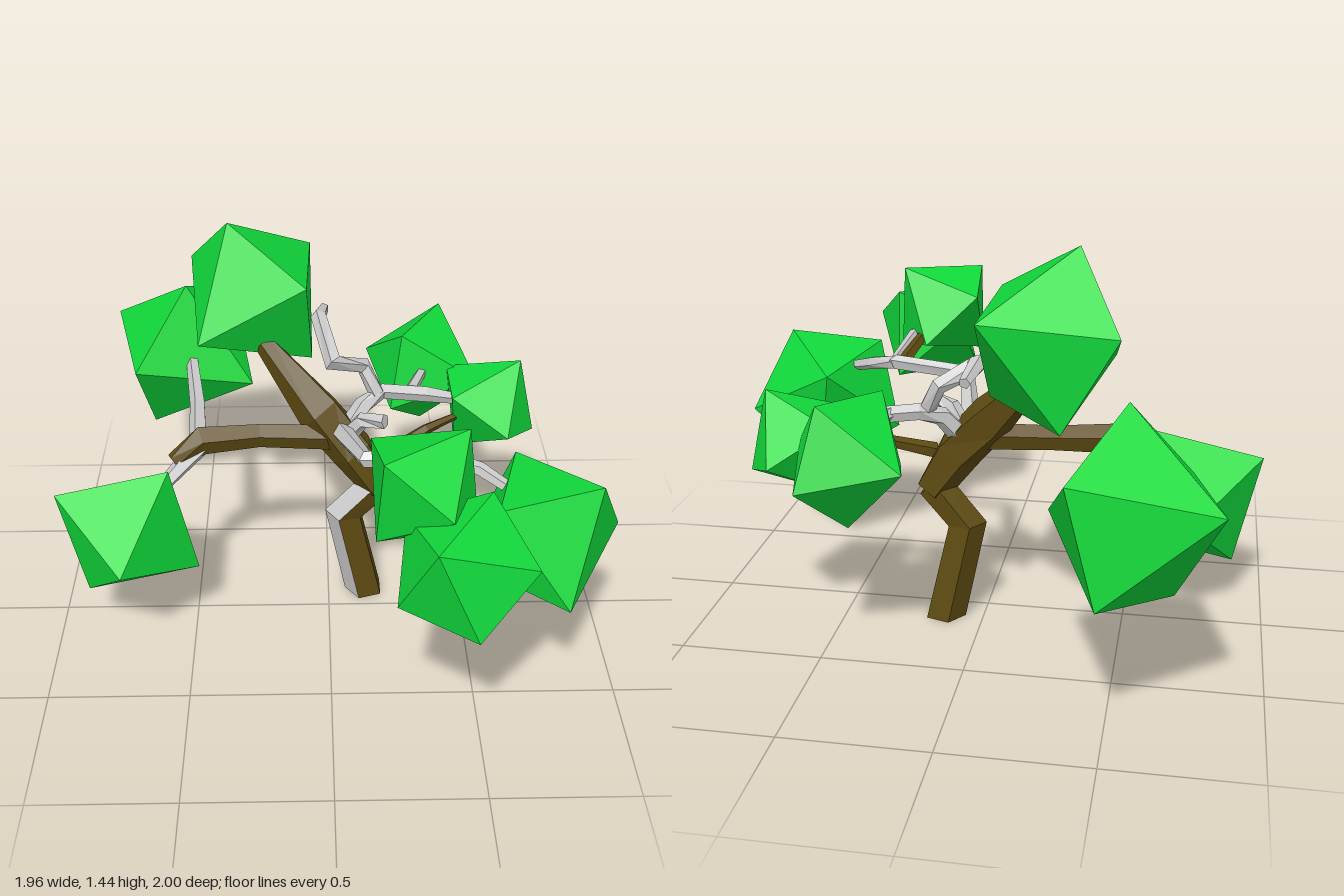
import * as THREE from 'three';

const V = (p) => new THREE.Vector3(...p);
const grey = new THREE.MeshStandardMaterial({ color: 0xcccccc, flatShading: true });
const bark = new THREE.MeshStandardMaterial({ color: 0x5f4c12, flatShading: true });
const green = new THREE.MeshStandardMaterial({ color: 0x11d93b, flatShading: true });

// Five-sided tapering limb through points [x, y, z, radius]; greySide leaves one strip uncoloured
function limb(name, path, material, greySide = -1) {
  const SIDES = 5;
  const centres = path.map((p) => V(p.slice(0, 3)));
  const rings = centres.map((c, i) => {
    const t = centres[Math.min(i + 1, path.length - 1)].clone()
      .sub(centres[Math.max(i - 1, 0)]).normalize();
    if (i === 0 && path[0][1] === 0) t.set(0, 1, 0); // level foot on the ground
    const ref = Math.abs(t.x) > 0.85 ? V([0, 1, 0]) : V([-1, 0, 0]);
    const u = ref.addScaledVector(t, -ref.dot(t)).normalize();
    const v = t.clone().cross(u);
    return Array.from({ length: SIDES }, (_, j) => {
      const a = (j / SIDES) * Math.PI * 2;
      return c.clone().addScaledVector(u, Math.cos(a) * path[i][3])
        .addScaledVector(v, Math.sin(a) * path[i][3]);
    });
  });
  const pts = [];
  const geo = new THREE.BufferGeometry();
  const last = rings.length - 1;
  for (let j = 0; j < SIDES; j++) {
    const k = (j + 1) % SIDES;
    const start = pts.length;
    for (let i = 0; i < last; i++) {
      // match each corner to its nearest partner so the limb does not twist
      const a = rings[i], b = rings[i + 1];
      let s = 0, best = Infinity;
      for (let q = 0; q < SIDES; q++) {
        const axis = centres[i + 1].clone().sub(centres[i]);
        const d = a.reduce((sum, p, m) =>
          sum + p.clone().add(axis).distanceTo(b[(m + q) % SIDES]), 0);
        if (d < best) { best = d; s = q; }
      }
      const c = b[(k + s) % SIDES], d = b[(j + s) % SIDES];
      pts.push(a[j], a[k], c, a[j], c, d);
    }
    pts.push(centres[0], rings[0][k], rings[0][j]);
    pts.push(centres[last], rings[last][j], rings[last][k]);
    geo.addGroup(start, pts.length - start, j === greySide ? 1 : 0);
  }
  geo.setFromPoints(pts);
  geo.computeVertexNormals();
  const mesh = new THREE.Mesh(geo, [material, grey]);
  mesh.name = name;
  return mesh;
}

// Faceted leaf clump: double pyramid with poles along axis and one rim corner towards rim
function clump(name, centre, r, axis, rim, sides = 5) {
  const y = V(axis).normalize();
  const x = V(rim).addScaledVector(y, -V(rim).dot(y)).normalize().negate();
  const z = x.clone().cross(y);
  const mesh = new THREE.Mesh(new THREE.SphereGeometry(r, sides, 2), green);
  mesh.quaternion.setFromRotationMatrix(new THREE.Matrix4().makeBasis(x, y, z));
  mesh.position.copy(V(centre));
  mesh.name = name;
  return mesh;
}

export function createModel() {
  const tree = new THREE.Group();
  tree.name = 'tree';

  // Crooked trunk
  tree.add(
    limb('lowerTrunk', [[0.14, 0, -0.105, 0.075], [0.06, 0.37, -0.1, 0.072],
      [0.185, 0.51, -0.09, 0.062]], bark, 0),
    limb('upperTrunk', [[0.185, 0.49, -0.09, 0.065], [0.09, 0.64, -0.1, 0.085],
      [-0.03, 0.78, -0.14, 0.085], [-0.23, 1.01, -0.25, 0.038]], bark),
  );

  // Limbs on the right-hand side
  tree.add(
    limb('sideLimb', [[0.04, 0.7, -0.1, 0.05], [-0.25, 0.71, -0.1, 0.045],
      [-0.46, 0.71, -0.07, 0.055], [-0.56, 0.65, -0.02, 0.03]], bark),
    limb('sideFrontTwig', [[-0.46, 0.69, -0.07, 0.04], [-0.6, 0.58, 0.04, 0.025]], grey),
    limb('sideBackTwig', [[-0.47, 0.71, -0.08, 0.035], [-0.485, 0.72, -0.3, 0.03],
      [-0.52, 0.76, -0.56, 0.025]], grey),
  );

  // Limb reaching forward
  tree.add(
    limb('frontLimb', [[0.04, 0.72, -0.12, 0.04], [0.12, 0.82, 0.24, 0.03],
      [0.4, 0.84, 0.265, 0.03], [0.38, 0.88, 0.52, 0.025], [0.38, 0.86, 0.7, 0.02]], grey),
    limb('frontSideTwig', [[0.4, 0.84, 0.265, 0.025], [0.5, 0.82, 0.31, 0.025],
      [0.61, 0.78, 0.39, 0.02]], grey),
    limb('frontInnerTwig', [[0.37, 0.84, 0.27, 0.025], [0.33, 0.9, 0.54, 0.02]], bark),
  );

  // Limbs reaching back
  tree.add(
    limb('backLimb', [[0.05, 0.68, -0.12, 0.04], [0.13, 0.79, -0.17, 0.035],
      [0.2, 0.82, -0.22, 0.03], [0.36, 0.8, -0.23, 0.03], [0.5, 0.77, -0.24, 0.02]], grey),
    limb('backInnerTwig', [[0.3, 0.81, -0.22, 0.025], [0.36, 0.8, -0.4, 0.02]], grey),
    limb('backRisingTwig', [[0.18, 0.82, -0.2, 0.03], [0.13, 0.92, -0.23, 0.03],
      [0.02, 0.97, -0.16, 0.035], [-0.03, 1.05, -0.37, 0.03], [-0.01, 1.02, -0.5, 0.02]], grey),
    limb('backThinTwig', [[0.18, 0.62, -0.06, 0.03], [0.36, 0.69, -0.16, 0.02],
      [0.5, 0.71, -0.24, 0.012]], bark),
    limb('stubTwig', [[0.06, 0.7, -0.09, 0.035], [0.12, 0.79, -0.06, 0.03],
      [0.2, 0.81, -0.02, 0.028]], grey),
  );

  // Leaf clumps
  tree.add(
    clump('topLeaves', [-0.26, 1.14, -0.385], 0.314, [0.2, 0.1, -0.22], [-0.095, 0.29, 0.06]),
    clump('sideFrontLeaves', [-0.725, 0.44, 0.117], 0.295, [0.16, 0.25, -0.01], [0.25, -0.155, 0], 4),
    clump('sideBackLeaves', [-0.565, 0.725, -0.755], 0.333, [-0.275, 0.077, -0.172], [0.6, 0.47, -0.64]),
    clump('frontSideLeaves', [0.706, 0.647, 0.42], 0.3, [0.066, -0.15, 0.25], [0.554, 0.787, 0.274]),
    clump('frontLeaves', [0.39, 0.815, 0.83], 0.242, [-0.1, 0.165, 0.17], [0.1, 0.19, -0.13]),
    clump('frontInnerLeaves', [0.28, 0.965, 0.62], 0.23, [0.15, 0.174, -0.06], [-0.14, 0.195, 0.13]),
    clump('backLeaves', [0.365, 0.76, -0.53], 0.245, [-0.2, 0, -0.13], [0.3, 0.84, -0.45]),
    clump('backSideLeaves', [0.6, 0.717, -0.3], 0.214, [0.115, 0.18, 0], [0.17, -0.11, 0]),
  );
  return tree;
}
